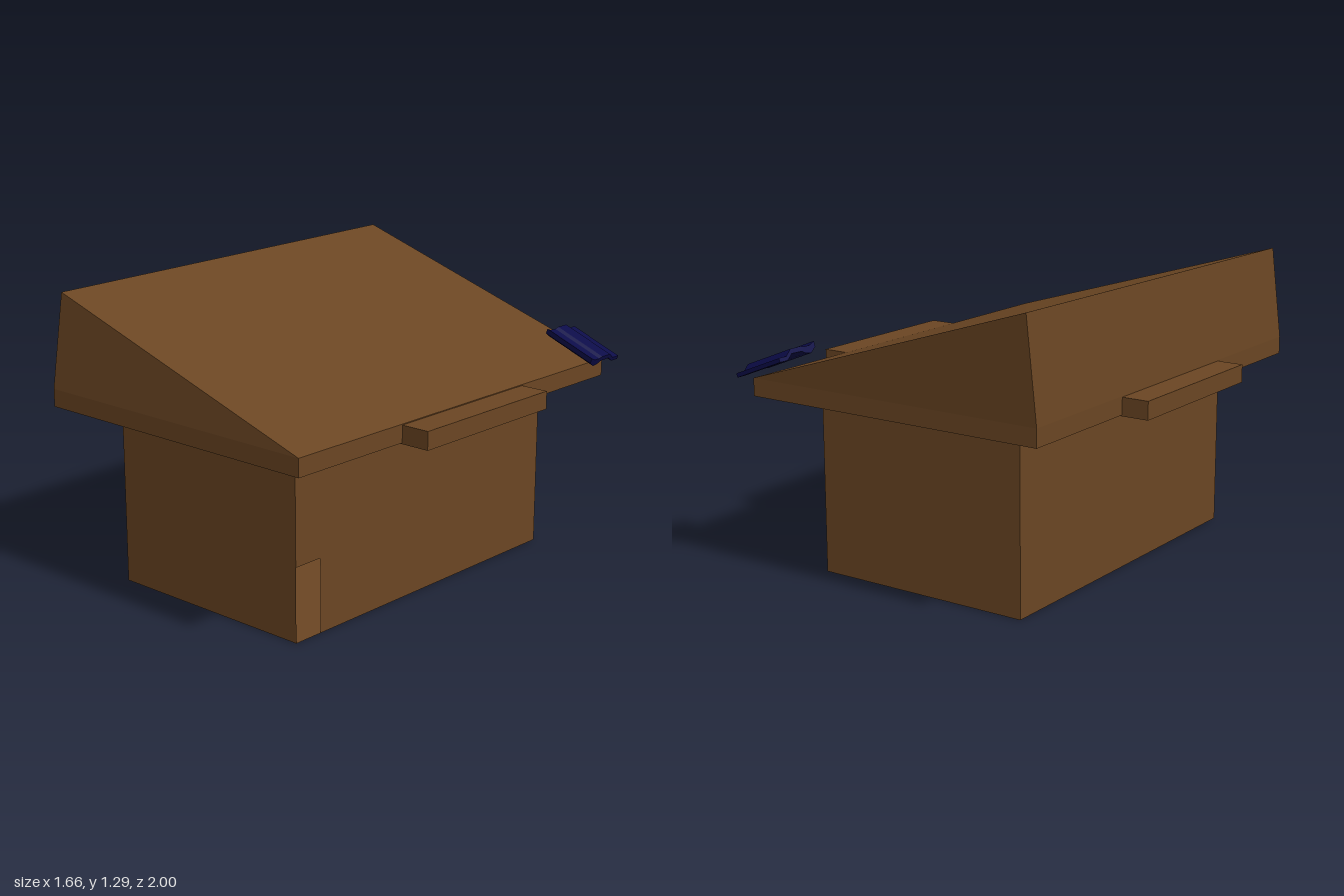
import * as THREE from 'three';

// Flat-shaded surface from four- or three-cornered faces, corners counter-clockwise from outside
function faces(name, material, list) {
  const pos = [];
  for (const f of list) {
    for (let i = 1; i < f.length - 1; i++) pos.push(...f[0], ...f[i], ...f[i + 1]);
  }
  const g = new THREE.BufferGeometry();
  g.setAttribute('position', new THREE.Float32BufferAttribute(pos, 3));
  g.computeVertexNormals();
  const m = new THREE.Mesh(g, material);
  m.name = name;
  return m;
}

export function createModel() {
  const group = new THREE.Group();
  group.name = 'house';
  const wood = new THREE.MeshStandardMaterial({ color: 0x6b4623, side: THREE.DoubleSide });
  wood.name = 'brown wood';
  const navy = new THREE.MeshStandardMaterial({ color: 0x0b0b48 });
  navy.name = 'navy tile';

  // Hollow walls and floor, with a small doorway in the left wall at the front corner
  const w = 0.5, h = 0.78, f = 0.81, b = -0.77, dz = 0.67, dy = 0.32;
  group.add(faces('walls', wood, [
    [[-w, 0, f], [w, 0, f], [w, h, f], [-w, h, f]],
    [[w, 0, b], [-w, 0, b], [-w, h, b], [w, h, b]],
    [[-w, 0, b], [-w, 0, f], [-w, h, f], [-w, h, b]],
    [[w, 0, dz], [w, 0, b], [w, h, b], [w, h, dz]],
    [[w, dy, f], [w, dy, dz], [w, h, dz], [w, h, f]],
    [[-w, 0, b], [w, 0, b], [w, 0, f], [-w, 0, f]],
  ]));

  // Lean-to roof: straight eave band below, slanted wedge above
  const l = -0.71, r = 0.7, y0 = 0.78, y1 = 0.857, zf = 1, zb = -0.965;
  const lbf = [l, y0, zf], rbf = [r, y0, zf], lbb = [l, y0, zb], rbb = [r, y0, zb];
  const lf = [l, y1, zf], rf = [r, y1, zf], lb = [l, y1, zb], rb = [r, y1, zb];
  const ridgeF = [-0.68, 1.268, 0.96], ridgeB = [-0.68, 1.29, -0.99];
  group.add(faces('roof', wood, [
    [lbb, rbb, rbf, lbf],
    [lbf, rbf, rf, lf],
    [rbb, lbb, lb, rb],
    [rbf, rbb, rb, rf],
    [lbb, lbf, lf, lb],
    [lf, rf, ridgeF],
    [rb, lb, ridgeB],
    [lb, lf, ridgeF, ridgeB],
    [rf, rb, ridgeB, ridgeF],
  ]));

  // Side ledges under the eaves
  for (const s of [-1, 1]) {
    const ledge = new THREE.Mesh(new THREE.BoxGeometry(0.14, 0.078, 0.78), wood);
    ledge.position.set(s * 0.759, 0.814, 0.022);
    ledge.name = s > 0 ? 'leftLedge' : 'rightLedge';
    group.add(ledge);
  }

  // Wavy roof tile at the back left corner
  const profile = [
    [0.775, 0.025], [0.805, 0.013], [0.84, 0.012], [0.86, 0.018], [0.92, 0.018],
    [0.955, -0.007], [1, -0.007], [1, -0.025], [0.955, -0.025], [0.92, -0.002],
    [0.86, -0.004], [0.84, -0.015], [0.81, -0.02], [0.775, 0.002],
  ].map(([x, y]) => new THREE.Vector2(x, y));
  const tileGeo = new THREE.ExtrudeGeometry(new THREE.Shape(profile), { depth: 0.258, bevelEnabled: false });
  tileGeo.translate(0, 0, -0.129).rotateY(Math.PI / 2);
  const tile = new THREE.Mesh(tileGeo, navy);
  tile.rotation.z = -0.377;
  tile.position.set(0.645, 0.928, 0);
  tile.name = 'roofTile';
  group.add(tile);

  return group;
}
